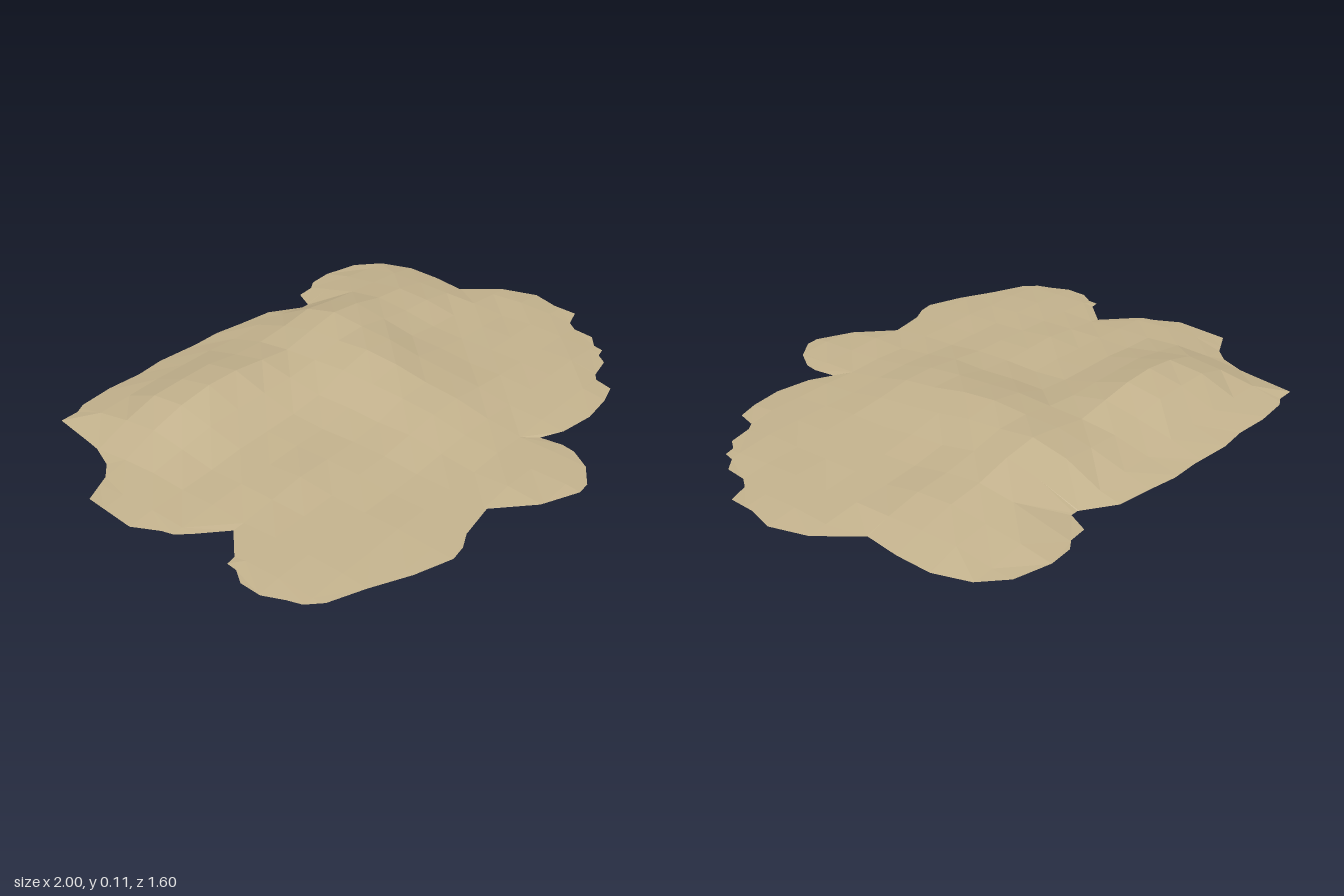
import * as THREE from 'three';

// Ragged edge of the mound, as [x, z] going round
const OUTLINE = [
  [-0.74, -0.77], [-0.67, -0.77], [-0.63, -0.79], [-0.5, -0.8], [-0.37, -0.79], [-0.26, -0.8], [-0.1, -0.785],
  [0.01, -0.785], [0.12, -0.765], [0.25, -0.745], [0.36, -0.67], [0.39, -0.67], [0.43, -0.745], [0.5, -0.75],
  [0.54, -0.775], [0.63, -0.78], [0.76, -0.745], [0.84, -0.67], [0.88, -0.55], [0.875, -0.42], [0.855, -0.29],
  [0.96, -0.16], [1, -0.03], [0.97, 0.07], [0.965, 0.165], [0.89, 0.19], [0.86, 0.23], [0.85, 0.31], [0.8, 0.35],
  [0.79, 0.39], [0.75, 0.4], [0.72, 0.44], [0.63, 0.46], [0.6, 0.48], [0.58, 0.55], [0.5, 0.575], [0.38, 0.59],
  [0.25, 0.57], [0.17, 0.53], [0.18, 0.61], [0.17, 0.66], [0.12, 0.735], [0.04, 0.79], [-0.01, 0.795], [-0.14, 0.735],
  [-0.26, 0.62], [-0.4, 0.645], [-0.46, 0.675], [-0.52, 0.685], [-0.65, 0.64], [-0.78, 0.575], [-0.9, 0.525],
  [-0.945, 0.48], [-0.96, 0.43], [-0.99, 0.36], [-0.985, 0.28], [-0.95, 0.23], [-0.945, 0.19], [-0.91, 0.185],
  [-0.82, 0.095], [-0.91, 0.01], [-0.945, -0.03], [-0.955, -0.07], [-1, -0.16], [-0.98, -0.36], [-0.87, -0.41],
  [-0.82, -0.46], [-0.78, -0.55], [-0.77, -0.6],
];

// Hills: x, z, height, spread in x, spread in z
const HILLS = [
  [-0.27, -0.44, 0.09, 0.18, 0.14],
  [-0.55, -0.44, 0.055, 0.13, 0.14],
  [0.26, -0.42, 0.096, 0.17, 0.15],
  [0.1, -0.1, 0.085, 0.16, 0.14],
  [0.03, 0.2, 0.046, 0.17, 0.11],
  [-0.45, 0.08, 0.02, 0.16, 0.15],
  [0.62, -0.4, 0.034, 0.12, 0.15],
  [0.45, 0.1, 0.012, 0.2, 0.2],
];

const CELL = 0.1285;

// Distance from a point to the outline
function edgeDistance(x, z) {
  let best = Infinity;
  OUTLINE.forEach(([ax, az], i) => {
    const [bx, bz] = OUTLINE[(i + 1) % OUTLINE.length];
    const dx = bx - ax, dz = bz - az;
    const t = THREE.MathUtils.clamp(((x - ax) * dx + (z - az) * dz) / (dx * dx + dz * dz), 0, 1);
    best = Math.min(best, Math.hypot(x - ax - t * dx, z - az - t * dz));
  });
  return best;
}

// Hills and slight unevenness, fading to the ground at the edge
function height(x, z) {
  let h = 0.011 + 0.004 * Math.sin(x * 17 + 1) * Math.sin(z * 19 + x * 7);
  for (const [cx, cz, top, sx, sz] of HILLS) {
    h += top * Math.exp(-0.5 * (((x - cx) / sx) ** 2 + ((z - cz) / sz) ** 2));
  }
  return h * Math.min(1, edgeDistance(x, z) / 0.1);
}

// Keep the part of a polygon where sign * (p[axis] - limit) >= 0
function clip(poly, axis, limit, sign) {
  const out = [];
  poly.forEach((a, i) => {
    const b = poly[(i + 1) % poly.length];
    const da = sign * (a[axis] - limit), db = sign * (b[axis] - limit);
    if (da >= 0) out.push(a);
    if ((da > 0 && db < 0) || (da < 0 && db > 0)) {
      const t = da / (da - db);
      const p = [a[0] + (b[0] - a[0]) * t, a[1] + (b[1] - a[1]) * t];
      p[axis] = limit;
      out.push(p);
    }
  });
  return out;
}

// Cut the outline into square cells and lift every corner to its height
function moundGeometry() {
  const positions = [];
  for (let i = -9; i < 8; i++) {
    const x0 = 0.12 + i * CELL;
    const column = clip(clip(OUTLINE, 0, x0, 1), 0, x0 + CELL, -1);
    for (let j = -7; j < 8; j++) {
      const z0 = -0.03 + j * CELL;
      const cell = clip(clip(column, 1, z0, 1), 1, z0 + CELL, -1)
        .filter((p, k, all) => {
          const q = all[(k + 1) % all.length];
          return Math.hypot(p[0] - q[0], p[1] - q[1]) > 1e-6;
        });
      if (cell.length < 3) continue;
      const points = cell.map(([x, z]) => new THREE.Vector2(x, z));
      for (const face of THREE.ShapeUtils.triangulateShape(points, [])) {
        const tri = face.map((k) => points[k]);
        const area = THREE.ShapeUtils.area(tri);
        if (Math.abs(area) < 1e-7) continue;
        if (area > 0) tri.reverse(); // face upwards
        for (const p of tri) positions.push(p.x, height(p.x, p.y), p.y);
      }
    }
  }
  const geometry = new THREE.BufferGeometry();
  geometry.setAttribute('position', new THREE.Float32BufferAttribute(positions, 3));
  geometry.computeVertexNormals();
  return geometry;
}

export function createModel() {
  const group = new THREE.Group();
  group.name = 'sandMound';
  const sand = new THREE.MeshStandardMaterial({ color: 0xc2b18c, flatShading: true, side: THREE.DoubleSide });
  const mound = new THREE.Mesh(moundGeometry(), sand);
  mound.name = 'moundSurface';
  group.add(mound);
  return group;
}
